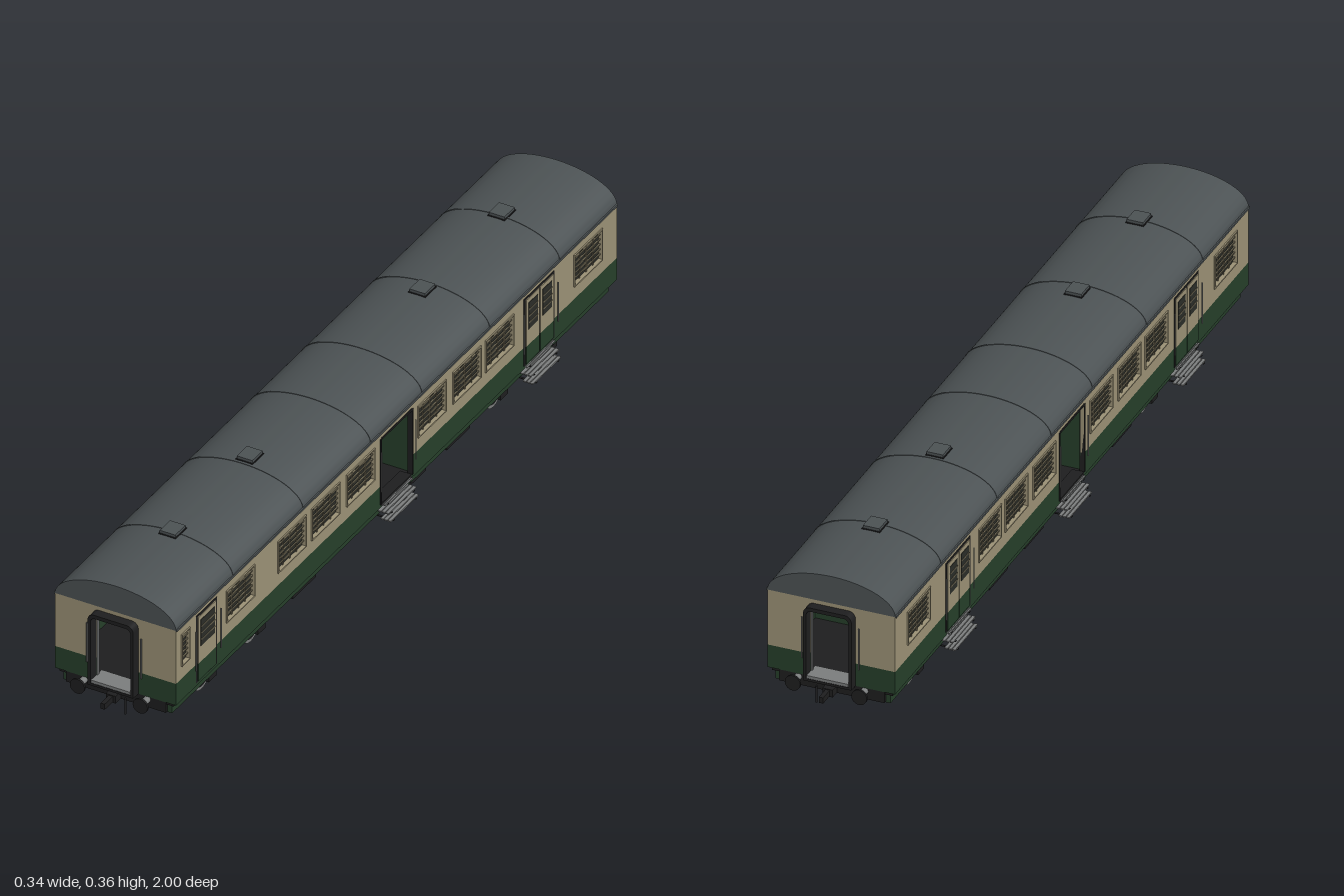
import * as THREE from 'three';
import { toCreasedNormals } from 'three/addons/utils/BufferGeometryUtils.js';

const mat = (name, color) => Object.assign(new THREE.MeshStandardMaterial({ color }), { name });

export function createModel() {
  const M = {
    cream: mat('cream paint', 0x9c9276),
    green: mat('green paint', 0x263f2a),
    roof: mat('roof grey', 0x4c5254),
    black: mat('underframe black', 0x1e1e1f),
    glass: mat('dark glass', 0x2b2d28),
    bar: mat('window bars', 0x726b56),
    steel: mat('steel', 0x7b7d7d),
  };
  const car = new THREE.Group();
  car.name = 'passengerCar';

  const add = (name, geo, m, x = 0, y = 0, z = 0, parent = car) => {
    const mesh = new THREE.Mesh(geo, m);
    mesh.name = name;
    mesh.position.set(x, y, z);
    parent.add(mesh);
    return mesh;
  };
  // Box given by its lower and upper corners
  const box = (name, m, [x0, x1], [y0, y1], [z0, z1], parent = car) =>
    add(name, new THREE.BoxGeometry(Math.abs(x1 - x0), y1 - y0, Math.abs(z1 - z0)), m,
      (x0 + x1) / 2, (y0 + y1) / 2, (z0 + z1) / 2, parent);
  const rod = (name, m, r, len, axis, x, y, z, sides = 16) => {
    const g = new THREE.CylinderGeometry(r, r, len, sides);
    if (axis === 'x') g.rotateZ(Math.PI / 2);
    if (axis === 'z') g.rotateX(Math.PI / 2);
    return add(name, g, m, x, y, z);
  };
  const poly = (pts, Type = THREE.Shape) => new Type(pts.map(p => new THREE.Vector2(...p)));
  const rect = (a, b, c, d, Type) => poly([[a, c], [b, c], [b, d], [a, d]], Type);
  const extrude = (shape, depth) =>
    new THREE.ExtrudeGeometry(shape, { depth, bevelEnabled: false, curveSegments: 24 });

  const HL = 0.945, HW = 0.148, T = 0.008, DOOR = 0.065;

  // Arched roof, ribs, gutters and vents
  const arch = (w, h) => {
    const s = new THREE.Shape();
    s.moveTo(w, 0);
    s.absellipse(0, 0, w, h, 0, Math.PI, false);
    s.closePath();
    return s;
  };
  add('roof', toCreasedNormals(extrude(arch(HW, 0.066), 2 * HL), 0.5), M.roof, 0, 0.29, -HL);
  for (const z of [-0.7, -0.4, -0.11, 0.11, 0.4, 0.7])
    add('roofRib', toCreasedNormals(extrude(arch(HW + 0.001, 0.0672), 0.004), 0.5), M.roof, 0, 0.29, z - 0.002);
  for (const z of [-0.71, -0.37, 0.37, 0.70]) {
    box('roofVentBase', M.black, [-0.021, 0.021], [0.35, 0.3575], [z - 0.024, z + 0.024]);
    box('roofVentCap', M.roof, [-0.019, 0.019], [0.3575, 0.364], [z - 0.022, z + 0.022]);
  }

  // One side of the body
  const buildSide = (s, windows, doors) => {
    const X = (a, b) => [s * a, s * b];
    const wall = poly([[-HL, 0.155], [-DOOR, 0.155], [-DOOR, 0.272], [DOOR, 0.272],
      [DOOR, 0.155], [HL, 0.155], [HL, 0.29], [-HL, 0.29]]);
    for (const [z, w] of windows)
      wall.holes.push(rect(z - w / 2, z + w / 2, 0.19, 0.265, THREE.Path));
    const geo = extrude(wall, T);
    geo.rotateY(-Math.PI / 2);
    add('upperSideWall', geo, M.cream, s > 0 ? HW : -HW + T);
    box('gutter', M.roof, X(HW - 0.002, HW + 0.003), [0.288, 0.293], [-HL, HL]);

    for (const e of [-1, 1]) {
      box('lowerSideWall', M.green, X(HW - T, HW), [0.1, 0.155], [e * DOOR, e * HL]);
      box('innerLining', M.green, X(0.133, 0.136), [0.105, 0.29], [e * 0.08, e * 0.93]);
      box('doorwayEdge', M.black, X(0.138, 0.1495), [0.108, 0.275], [e * DOOR, e * (DOOR + 0.005)]);
    }
    box('doorwayHead', M.black, X(0.138, 0.1495), [0.272, 0.277], [-DOOR, DOOR]);
    box('doorwaySill', M.black, X(0.12, HW), [0.1, 0.109], [-DOOR, DOOR]);
    box('soleBar', M.green, X(0.118, 0.133), [0.07, 0.1], [-HL + 0.01, HL - 0.01]);

    // Barred windows with a raised frame
    for (const [z, w] of windows) {
      const a = z - w / 2, b = z + w / 2;
      box('windowGlass', M.glass, X(0.137, 0.141), [0.187, 0.268], [a - 0.003, b + 0.003]);
      for (let i = 1; i < 6; i++) {
        const y = 0.19 + i * 0.0125;
        box('windowBar', M.bar, X(0.143, 0.146), [y - 0.0015, y + 0.0015], [a, b]);
      }
      const n = Math.round(w / 0.029);
      for (let i = 1; i < n; i++) {
        const p = a + i * w / n;
        box('windowUpright', M.bar, X(0.142, 0.1445), [0.19, 0.265], [p - 0.0015, p + 0.0015]);
      }
      for (const y of [0.187, 0.265]) box('windowFrame', M.cream, X(HW, 0.151), [y, y + 0.003], [a - 0.003, b + 0.003]);
      for (const p of [a - 0.003, b]) box('windowFrame', M.cream, X(HW, 0.151), [0.187, 0.268], [p, p + 0.003]);
    }

    // Closed doors: dark surround, two-colour leaves, glazing and handrails
    for (const [z, w] of doors) {
      box('doorSurround', M.black, X(HW, 0.149), [0.108, 0.278], [z - w / 2, z + w / 2]);
      const n = w > 0.1 ? 2 : 1, lw = (w - 0.008) / n;
      for (let i = 0; i < n; i++) {
        const a = z - w / 2 + 0.004 + i * lw + 0.002, b = a + lw - 0.004;
        box('doorLeafUpper', M.cream, X(0.149, 0.151), [0.155, 0.273], [a, b]);
        box('doorLeafLower', M.green, X(0.149, 0.151), [0.111, 0.155], [a, b]);
        box('doorGlass', M.glass, X(0.151, 0.152), [0.195, 0.262], [a + 0.009, b - 0.009]);
        for (const y of [0.212, 0.2285, 0.245])
          box('doorBar', M.bar, X(0.152, 0.153), [y - 0.0015, y + 0.0015], [a + 0.009, b - 0.009]);
      }
    }
    for (const [z, w] of [...doors, [0, 0.13]])
      for (const e of [-1, 1])
        rod('sideHandrail', M.steel, 0.0015, 0.1, 'y', s * 0.154, 0.195, z + e * (w / 2 + 0.008), 8);

    // Slatted boarding steps below the wide doors
    for (const z of [0, ...doors.filter(d => d[1] > 0.1).map(d => d[0])]) {
      for (const [x0, x1, y] of [[0.14, 0.156, 0.103], [0.137, 0.165, 0.084], [0.143, 0.17, 0.066]]) {
        for (let i = 0; i < 3; i++) {
          const a = x0 + i * (x1 - x0) / 3;
          box('stepSlat', M.steel, X(a, a + (x1 - x0) / 3 - 0.002), [y - 0.0015, y + 0.0015], [z - 0.06, z + 0.06]);
        }
        for (const e of [-1, 1])
          box('stepBracket', M.black, X(0.125, x1), [y - 0.003, y - 0.0015], [z + e * 0.045, z + e * 0.05]);
      }
    }
  };
  const W = 0.115;
  const middle = [0.45, 0.305, 0.155, -0.15, -0.3, -0.44, -0.82].map(z => [z, W]);
  buildSide(1, [...middle, [0.67, W], [0.905, 0.03]], [[0.815, 0.09], [-0.61, 0.13]]);
  buildSide(-1, [...middle, [0.82, W]], [[0.61, 0.13], [-0.61, 0.13]]);

  // Floor and interior partitions
  box('floor', M.black, [-0.14, 0.14], [0.092, 0.106], [-HL + 0.005, HL - 0.005]);
  for (const z of [-0.72, -0.08, 0.08, 0.72])
    box('partition', M.green, [-0.138, 0.138], [0.105, 0.29], [z - 0.004, z + 0.004]);

  // Ends: walls, gangway, buffers, coupler
  const roundRect = (w, y0, y1, r, Type) => {
    const p = new Type();
    p.moveTo(-w, y0);
    p.lineTo(w, y0);
    p.lineTo(w, y1 - r);
    p.absarc(w - r, y1 - r, r, 0, Math.PI / 2, false);
    p.lineTo(-w + r, y1);
    p.absarc(-w + r, y1 - r, r, Math.PI / 2, Math.PI, false);
    p.closePath();
    return p;
  };
  for (const e of [-1, 1]) {
    const Z = (a, b) => [e * a, e * b];
    const endWall = poly([[-0.14, 0.155], [-0.05, 0.155], [-0.05, 0.272], [0.05, 0.272],
      [0.05, 0.155], [0.14, 0.155], [0.14, 0.29], [-0.14, 0.29]]);
    add('upperEndWall', extrude(endWall, T), M.cream, 0, 0, e > 0 ? HL - T : -HL);
    const frame = roundRect(0.056, 0.1, 0.281, 0.016, THREE.Shape);
    frame.holes.push(roundRect(0.049, 0.106, 0.272, 0.011, THREE.Path));
    add('gangway', extrude(frame, 0.024), M.black, 0, 0, e > 0 ? 0.943 : -0.967);
    box('gangwayTread', M.steel, [-0.048, 0.048], [0.105, 0.113], Z(0.92, 0.966));
    box('bufferBeam', M.black, [-0.122, 0.122], [0.072, 0.1], Z(0.925, 0.943));
    box('couplerBlock', M.black, [-0.012, 0.012], [0.072, 0.09], Z(0.94, 0.965));
    box('couplerHook', M.black, [-0.005, 0.005], [0.074, 0.088], Z(0.96, 1.0));
    rod('brakeHose', M.black, 0.0025, 0.04, 'y', 0.03, 0.066, e * 0.955, 8);
    for (const s of [-1, 1]) {
      box('lowerEndWall', M.green, [s * 0.05, s * 0.14], [0.1, 0.155], Z(HL - T, HL));
      box('endDoorPost', M.steel, [s * 0.045, s * 0.048], [0.11, 0.268], Z(0.935, 0.942));
      rod('endHandrail', M.steel, 0.002, 0.1, 'y', s * 0.066, 0.195, e * 0.951, 8);
      rod('bufferShank', M.steel, 0.008, 0.03, 'z', s * 0.077, 0.092, e * 0.955);
      rod('bufferHead', M.black, 0.018, 0.005, 'z', s * 0.077, 0.092, e * 0.972, 24);
    }
  }

  // Wheelsets and bogie frames
  for (const e of [-1, 1]) {
    for (const z of [e * 0.52, e * 0.73]) {
      rod('axle', M.steel, 0.006, 0.2, 'x', 0, 0.037, z);
      for (const s of [-1, 1]) {
        rod('wheel', M.steel, 0.037, 0.013, 'x', s * 0.082, 0.037, z, 32);
        rod('wheelFlange', M.steel, 0.04, 0.003, 'x', s * 0.074, 0.04, z, 32);
        rod('wheelDisc', M.black, 0.029, 0.015, 'x', s * 0.082, 0.037, z, 32);
        box('axleBox', M.black, [s * 0.092, s * 0.115], [0.034, 0.062], [z - 0.016, z + 0.016]);
      }
    }
    for (const s of [-1, 1])
      box('bogieSideFrame', M.black, [s * 0.095, s * 0.106], [0.052, 0.064], [e * 0.47, e * 0.78]);
    box('bogieBolster', M.black, [-0.1, 0.1], [0.058, 0.094], [e * 0.6, e * 0.65]);
  }
  rod('generator', M.black, 0.017, 0.05, 'z', 0.055, 0.05, 0.42, 20);

  // Underfloor equipment
  for (const s of [-1, 1])
    for (const [a, b] of [[0.29, 0.39], [-0.18, -0.08], [-0.37, -0.27]])
      box('equipmentBox', M.black, [s * 0.05, s * 0.117], [0.042, 0.093], [a, b]);
  box('batteryBox', M.black, [-0.03, 0.06], [0.034, 0.093], [0.04, 0.275]);

  return car;
}
